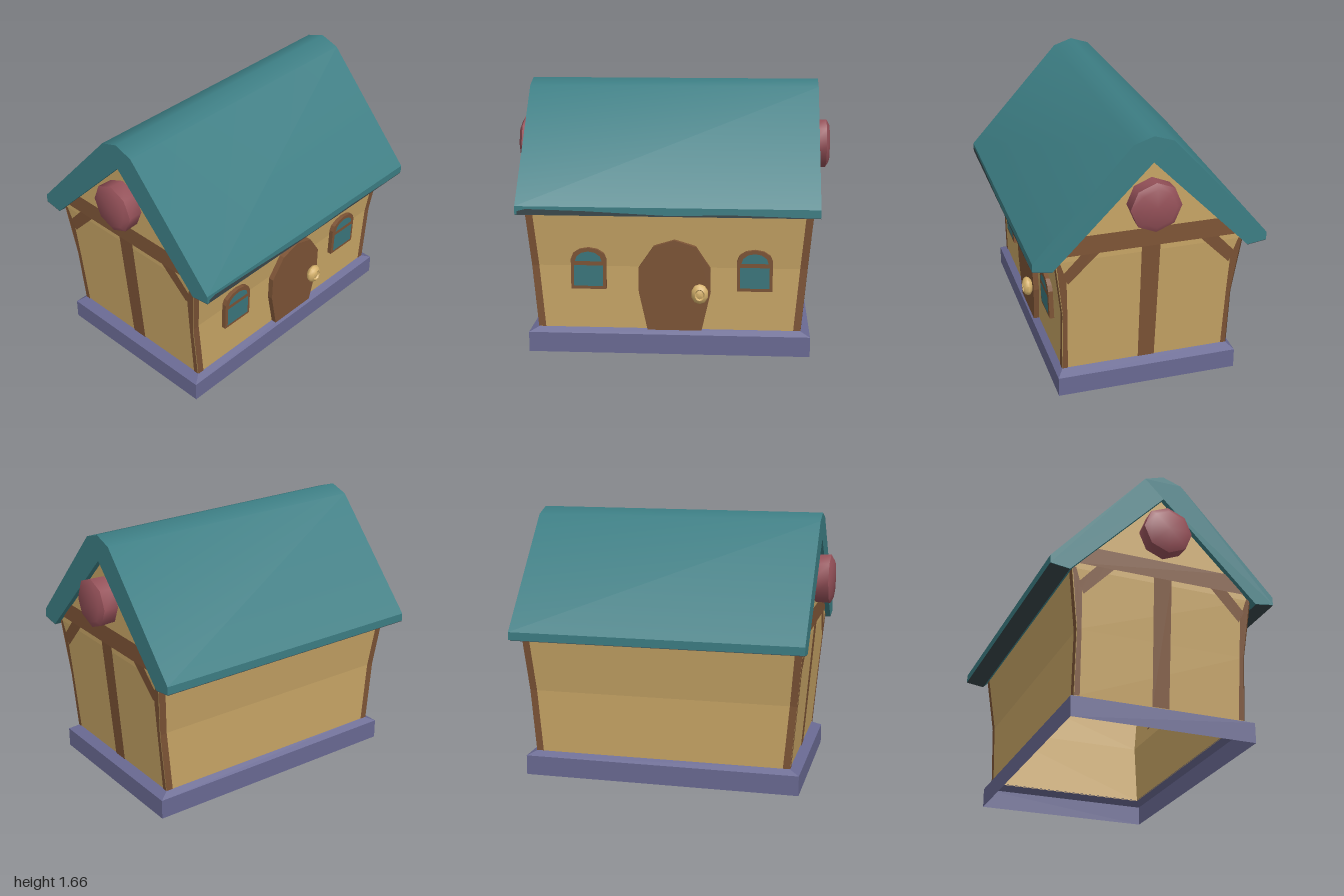
import * as THREE from 'three';
import { toCreasedNormals } from 'three/addons/utils/BufferGeometryUtils.js';

const mat = (name, color, side = THREE.FrontSide) => {
  const m = new THREE.MeshStandardMaterial({ color, side });
  m.name = name;
  return m;
};

// Wall surface: half width and half depth at a given height
const sideX = (y) => 0.812 + 0.068 * Math.min(1, (y - 0.15) / 0.77);
const frontZ = (y) => 0.53 + 0.045 * Math.max(0, (y - 0.55) / 0.37);

const toShape = (pts) => new THREE.Shape(pts.map(([x, y]) => new THREE.Vector2(x, y)));

// Moves every vertex by a rule
function remap(geo, rule) {
  const p = geo.attributes.position;
  for (let i = 0; i < p.count; i++) p.setXYZ(i, ...rule(p.getX(i), p.getY(i), p.getZ(i)));
  geo.computeVertexNormals();
  return geo;
}

// Flat polygon laid onto a surface
const plate = (pts, rule) => remap(new THREE.ShapeGeometry(toShape(pts)), rule);

// Open-ended rectangular loft through rows of [y, half width, half depth]
function loft(rows) {
  const v = [];
  const corners = [[1, 1], [1, -1], [-1, -1], [-1, 1]];
  for (let r = 0; r < rows.length - 1; r++) {
    for (let k = 0; k < 4; k++) {
      const at = (row, c) => [row[1] * c[0], row[0], row[2] * c[1]];
      const a = corners[k], b = corners[(k + 1) % 4];
      const a0 = at(rows[r], a), b0 = at(rows[r], b), a1 = at(rows[r + 1], a), b1 = at(rows[r + 1], b);
      v.push(...a0, ...b0, ...b1, ...a0, ...b1, ...a1);
    }
  }
  const g = new THREE.BufferGeometry();
  g.setAttribute('position', new THREE.Float32BufferAttribute(v, 3));
  g.computeVertexNormals();
  return g;
}

// Arched outline: straight sides up to the spring line, then a half ellipse
function arch(cx, w, bottom, spring, top) {
  const pts = bottom < spring ? [[cx - w, bottom], [cx + w, bottom]] : [];
  for (let i = 0; i <= 6; i++) {
    const a = (i / 6) * Math.PI;
    pts.push([cx + w * Math.cos(a), spring + (top - spring) * Math.sin(a)]);
  }
  return pts;
}

const lathe = (pts, sides) =>
  toCreasedNormals(new THREE.LatheGeometry(pts.map(([r, y]) => new THREE.Vector2(r, y)), sides), 0.9);

export function createModel() {
  const house = new THREE.Group();
  house.name = 'house';

  const plaster = mat('plaster', 0xc6a465, THREE.DoubleSide);
  const stone = mat('stone', 0x696992, THREE.DoubleSide);
  const timber = mat('timber', 0x7d5436, THREE.DoubleSide);
  const roofTeal = mat('roofTeal', 0x3c7d83);
  const shadowTrim = mat('darkTrim', 0x39464a, THREE.DoubleSide);
  const glass = mat('glass', 0x3b777d, THREE.DoubleSide);
  const maroon = mat('maroon', 0x955159);
  const brass = mat('brass', 0xd6b26c);

  const add = (name, geo, material, parent = house) => {
    const m = new THREE.Mesh(geo, material);
    m.name = name;
    parent.add(m);
    return m;
  };

  // Foundation and walls, both open underneath
  add('foundation', loft([[0, 0.875, 0.57], [0.125, 0.875, 0.57], [0.155, 0.81, 0.528]]), stone);
  add('walls', loft([
    [0.15, 0.812, 0.53], [0.55, sideX(0.55), 0.53],
    [0.925, 0.88, 0.575], [1.515, 0.88, 0.002],
  ]), plaster);

  // Roof: thick bent slab with a softened ridge
  const roof = new THREE.ExtrudeGeometry(toShape([
    [0, 1.505], [0.6, 0.893], [0.72, 0.91], [0.72, 0.96], [0.12, 1.625], [0, 1.665],
    [-0.12, 1.625], [-0.72, 0.96], [-0.72, 0.91], [-0.6, 0.893],
  ]), { depth: 1.83, bevelEnabled: false });
  roof.translate(0, 0, -0.915).rotateY(Math.PI / 2);
  add('roof', toCreasedNormals(roof, 0.7), roofTeal);

  // Dark underside of the eaves, and the worn streak on the front edge
  for (const s of [1, -1]) {
    add('eaveUnderside', plate([[-0.915, 0], [0.915, 0], [0.915, 1], [-0.915, 1]],
      (x, t) => [x, 0.907 - 0.017 * t, s * (0.721 - 0.12 * t)]), shadowTrim);
  }
  add('eaveStreak', plate([[-0.9, 0.91], [0.9, 0.91], [0.4, 0.922], [0, 0.914], [-0.5, 0.936], [-0.85, 0.944], [-0.9, 0.93]],
    (x, y) => [x, y, 0.723]), shadowTrim);

  // Timber framing on both gable ends
  const gableBeams = {
    crossBeam: [[-0.54, 0.96], [0.54, 0.96], [0.42, 1.08], [-0.42, 1.08]],
    post: [[-0.055, 0.155], [0.05, 0.155], [0.055, 0.965], [-0.06, 0.965]],
  };
  const mirroredBeams = {
    cornerPost: [[0.53, 0.155], [0.53, 0.55], [0.573, 0.93], [0.552, 0.93], [0.51, 0.8], [0.503, 0.55], [0.497, 0.155]],
    brace: [[0.42, 0.965], [0.31, 0.965], [0.5, 0.77], [0.535, 0.84]],
  };
  for (const sx of [1, -1]) {
    const onGable = (sz) => (z, y) => [sx * (sideX(y) + 0.005), y, sz * z];
    for (const [name, pts] of Object.entries(gableBeams)) add(name, plate(pts, onGable(1)), timber);
    for (const sz of [1, -1]) {
      for (const [name, pts] of Object.entries(mirroredBeams)) add(name, plate(pts, onGable(sz)), timber);
      // Corner timber on the long walls, bent with the wall
      for (const [y0, y1] of [[0.155, 0.55], [0.55, 0.92]]) {
        add('cornerTimber', plate([[0, y0], [0.045, y0], [0.045, y1], [0, y1]],
          (d, y) => [sx * (sideX(y) + 0.004 - d), y, sz * (frontZ(y) + 0.004)]), timber);
      }
    }
    // Round ornament high on the gable
    const boss = add('gableBoss', lathe([[0.15, 0.86], [0.155, 0.975], [0.12, 0.995], [0, 1]], 8), maroon);
    boss.rotation.z = -sx * Math.PI / 2;
    boss.position.y = 1.25;
  }

  // Solid slab leaning with the front wall
  const slab = (pts, back, depth) => {
    const g = new THREE.ExtrudeGeometry(toShape(pts), { depth, bevelEnabled: false });
    return remap(g, (x, y, z) => [x, y, back + z + (y - 0.155) * 0.03]);
  };

  // Door with round handle
  add('door', slab([
    [-0.13, 0.155], [0.205, 0.155], [0.26, 0.4], [0.257, 0.555], [0.168, 0.69],
    [0.038, 0.73], [-0.09, 0.69], [-0.183, 0.555], [-0.183, 0.4],
  ], 0.532, 0.035), timber);
  const knob = add('doorKnob', lathe([
    [0.035, 0], [0.058, 0.015], [0.064, 0.03], [0.056, 0.047], [0.036, 0.058], [0.028, 0.048], [0.016, 0.052], [0, 0.055],
  ], 10), brass);
  knob.rotation.x = Math.PI / 2;
  knob.scale.x = 0.85;
  knob.position.set(0.195, 0.4, 0.572);

  // Two arched windows with split panes
  for (const cx of [-0.495, 0.53]) {
    const win = new THREE.Group();
    win.name = 'window';
    house.add(win);
    add('windowFrame', slab(arch(cx, 0.109, 0.41, 0.6, 0.672), 0.525, 0.029), timber, win);
    const onFrame = (x, y) => [x, y, 0.557 + (y - 0.155) * 0.03];
    add('lowerPane', plate([[cx - 0.09, 0.43], [cx + 0.09, 0.43], [cx + 0.09, 0.562], [cx - 0.09, 0.562]], onFrame), glass, win);
    add('upperPane', plate(arch(cx, 0.083, 0.588, 0.588, 0.65), onFrame), glass, win);
  }

  return house;
}
